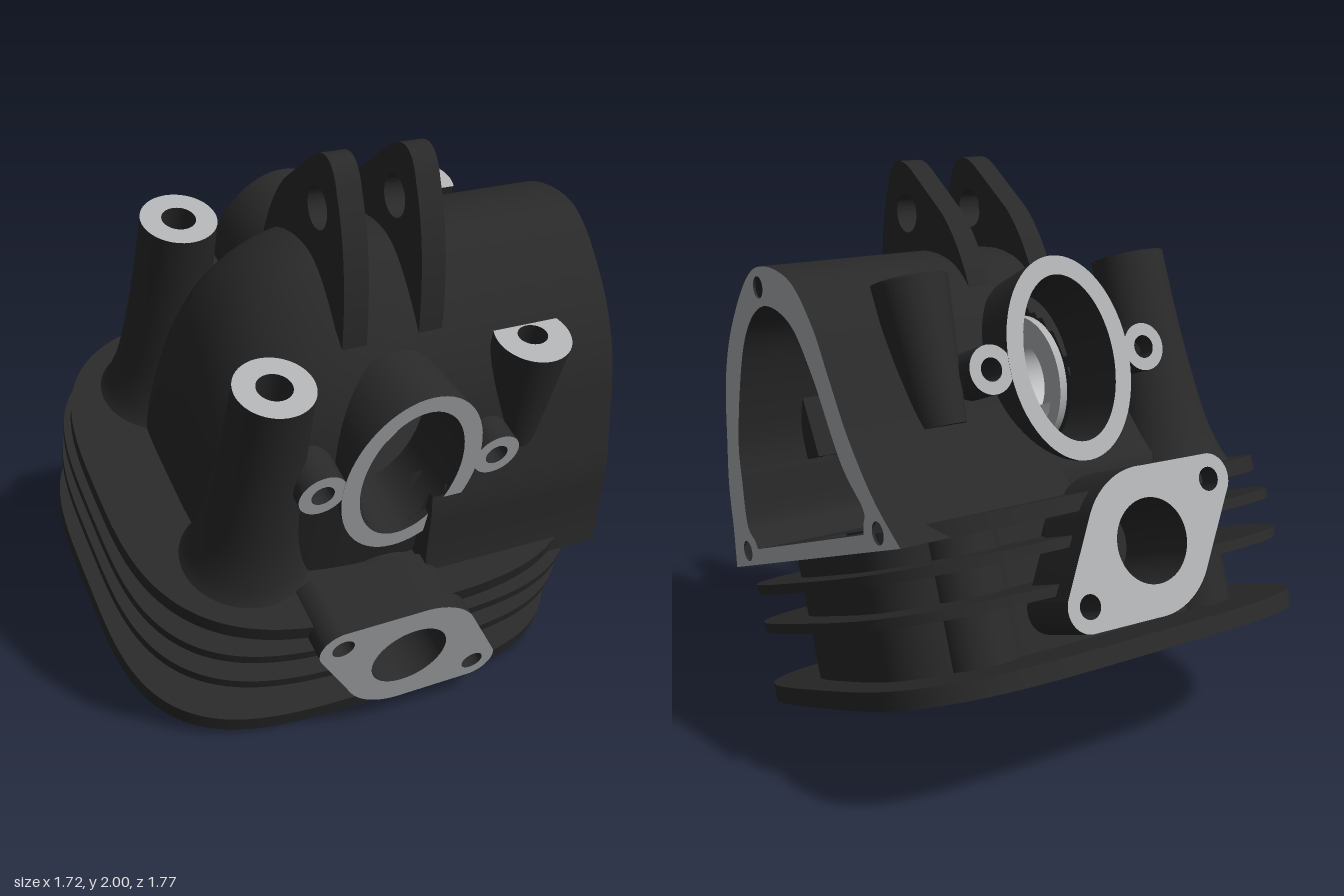
import * as THREE from 'three';
import { toCreasedNormals } from 'three/addons/utils/BufferGeometryUtils.js';

const mat = (name, color, side = THREE.DoubleSide) => new THREE.MeshStandardMaterial({ name, color, side });
const V = (x, y) => new THREE.Vector2(x, y);

export function createModel() {
  const body = mat('dark casting', 0x292929);
  const machined = mat('machined metal', 0xb0b2b4);
  const bright = mat('bright bore', 0xc2c4c6, THREE.FrontSide);

  const model = new THREE.Group();
  model.name = 'cylinderHead';
  const head = new THREE.Group();
  head.name = 'tiltedHead';
  head.position.set(0, 0.265, -0.127);
  head.rotation.x = Math.PI / 9;
  model.add(head);

  const add = (name, geo, material, parent = head) => {
    const m = new THREE.Mesh(geo, material);
    m.name = name;
    parent.add(m);
    return m;
  };
  const extrude = (shape, depth) => toCreasedNormals(
    new THREE.ExtrudeGeometry(shape, { depth, bevelEnabled: false, curveSegments: 32 }), 0.6);
  // Extrude upwards from height y
  const slab = (shape, y, depth) => extrude(shape, depth).rotateX(-Math.PI / 2).translate(0, y, 0);
  // Extrude along x from a shape drawn in (-z, y)
  const sideways = (shape, x, depth) => extrude(shape, depth).rotateY(Math.PI / 2).translate(x, 0, 0);
  const hole = (x, y, rx, ry = rx) => new THREE.Path().absellipse(x, y, rx, ry, 0, Math.PI * 2, true);
  const disc = (x, y, rx, ry = rx) => new THREE.Shape().absellipse(x, y, rx, ry, 0, Math.PI * 2);

  // Rounded-square plan, with optional port notches and a flat right side
  const plan = (rx, rz, power, notch = false, maxX = 9) => {
    const pts = [];
    const e = 2 / power;
    for (let i = 0; i < 144; i++) {
      const a = (i / 144) * Math.PI * 2, c = Math.cos(a), s = Math.sin(a);
      const x = Math.min(maxX, rx * Math.sign(c) * Math.abs(c) ** e);
      let z = rz * Math.sign(s) * Math.abs(s) ** e;
      if (notch && Math.abs(x) < 0.2) z = Math.sign(z) * Math.min(Math.abs(z), 0.5);
      pts.push(V(x, z));
    }
    return new THREE.Shape(pts);
  };
  const bolts = [[-0.46, -0.415], [-0.46, 0.415], [0.45, -0.415], [0.45, 0.415]];
  const slot = () => new THREE.Path([V(0.57, -0.16), V(0.57, 0.16), V(0.7, 0.16), V(0.7, -0.16)]);
  const drill = (shape) => {
    bolts.forEach(([x, z]) => shape.holes.push(hole(x, z, 0.05)));
    shape.holes.push(slot(), hole(0, 0, 0.345));
    return shape;
  };

  // Base plate, core, fins and deck
  add('gasketFace', slab(drill(plan(0.86, 0.77, 3.7)), 0, 0.006), [machined, body]);
  add('basePlate', slab(drill(plan(0.86, 0.77, 3.7)), 0.006, 0.056), body);
  add('core', slab(drill(plan(0.74, 0.51, 3.7)), 0.06, 0.44), body);
  for (const y of [0.255, 0.395]) {
    add('coolingFin', slab(drill(plan(0.86, 0.777, 3.5, true)), y, 0.035), body);
  }
  const deck = plan(0.85, 0.777, 3.1, false, 0.785);
  deck.holes.push(slot());
  add('deck', slab(deck, 0.5, 0.055), body);
  bolts.forEach(([x, z]) => {
    const s = disc(x, -z, 0.13);
    s.holes.push(hole(x, -z, 0.05));
    add('boltColumn', slab(s, 0.05, 0.46), body);
  });

  // Combustion chamber dome with two valves
  const dome = [];
  for (let i = 0; i <= 12; i++) {
    const a = (i / 12) * Math.PI / 2;
    dome.push(V(0.345 * Math.cos(a), 0.003 + 0.27 * Math.sin(a)));
  }
  add('combustionChamber', new THREE.LatheGeometry(dome, 48), body);
  for (const s of [-1, 1]) {
    const valve = add('valve', new THREE.CylinderGeometry(0.12, 0.12, 0.03, 32), body);
    valve.position.set(0, 0.16, s * 0.14);
    valve.rotation.x = s * 0.5;
  }

  // Rocker housing profiles in (z, y)
  const spline = (pts, n) => new THREE.SplineCurve(pts.map(([z, y]) => V(z, y))).getPoints(n);
  const outer = spline([[0.68, 0.5], [0.64, 0.64], [0.605, 0.8], [0.546, 0.95], [0.43, 1.2], [0.26, 1.383],
    [0.016, 1.508], [-0.23, 1.43], [-0.35, 1.26], [-0.41, 1.05], [-0.46, 0.868], [-0.552, 0.664], [-0.67, 0.5]], 96);
  const inner = spline([[0.44, 0.557], [0.455, 0.59], [0.495, 0.65], [0.47, 0.8], [0.415, 0.987], [0.212, 1.28],
    [0.008, 1.375], [-0.186, 1.288], [-0.286, 1.1], [-0.375, 0.796], [-0.47, 0.64], [-0.455, 0.59], [-0.44, 0.557]], 96);

  // Skin through profiles at [x, width scale, height scale, width limit],
  // leaving out the quads inside the two side openings
  const loft = (profile, stations, flip) => {
    const pos = [], idx = [], n = profile.length;
    for (const [x, sw, sh, limit] of stations) for (const p of profile) {
      pos.push(x, 0.5 + (p.y - 0.5) * sh, Math.max(-limit, Math.min(limit, p.x)) * sw);
    }
    for (let i = 0; i < stations.length - 1; i++) for (let j = 0; j < n - 1; j++) {
      const a = i * n + j, b = a + 1, c = a + n, d = c + 1;
      const mx = (pos[a * 3] + pos[d * 3]) / 2, my = (pos[a * 3 + 1] + pos[d * 3 + 1]) / 2;
      const flared = mx > 0.09 && my < 0.85;
      if (!flared && ((mx + 0.01) / 0.18) ** 2 + ((my - 1) / 0.287) ** 2 < 1) continue;
      if (flip) idx.push(a, b, c, b, d, c);
      else idx.push(a, c, b, b, c, d);
    }
    const g = new THREE.BufferGeometry();
    g.setAttribute('position', new THREE.Float32BufferAttribute(pos, 3));
    g.setIndex(idx);
    return toCreasedNormals(g, 0.7);
  };
  const shell = [];
  for (let i = 0; i <= 30; i++) shell.push([0.79 - 0.69 * i / 30, 1, 1, 1]);
  for (let i = 0; i <= 70; i++) {
    const a = (i / 70) ** 1.5 * Math.PI / 2, c = Math.max(0, Math.cos(a));
    shell.push([0.1 - 0.69 * Math.sin(a) ** (2 / 3), c ** 0.45, c ** (2 / 3), 0.565]);
  }
  const cavity = [];
  for (let i = 0; i <= 50; i++) cavity.push([0.79 - 1.01 * i / 50, 1, 1, 1]);
  add('rockerHousing', loft(outer, shell, true), body);
  add('rockerChamber', loft(inner, cavity, false), body);

  const toShape = (pts, Type) => new Type(pts.map((p) => V(-p.x, p.y)));
  const face = toShape(outer, THREE.Shape);
  face.holes.push(toShape(inner, THREE.Path), hole(0, 1.442, 0.038), hole(0.54, 0.555, 0.038), hole(-0.54, 0.555, 0.038));
  add('coverFace', sideways(face, 0.787, 0.009), [machined, body]);

  // Camshaft bearing in the end wall
  const wall = toShape(inner, THREE.Shape);
  wall.holes.push(hole(0, 0.984, 0.145));
  add('endWall', sideways(wall, -0.235, 0.015), body);
  const ring = disc(0, 0.984, 0.245);
  ring.holes.push(hole(0, 0.984, 0.145));
  add('bearingRing', sideways(ring, -0.22, 0.03), machined);
  const bore = new THREE.LatheGeometry([V(0.145, 0.11), V(0.145, -0.11)], 40).rotateZ(Math.PI / 2);
  add('bearingBore', bore, bright).position.set(-0.3, 0.984, 0);
  const boreEnd = add('bearingEnd', new THREE.CircleGeometry(0.145, 40).rotateY(Math.PI / 2), bright);
  boreEnd.position.set(-0.4, 0.984, 0);

  // Machined trough between the side openings; its left half stays within the bearing circle
  for (const [name, start, length] of [['troughLeft', -1.1, 1.1], ['troughRight', 0, 0.9]]) {
    const g = new THREE.LatheGeometry([V(1, 0.26), V(1, -0.2)], 20, start, length)
      .rotateX(Math.PI / 2).scale(0.18, 0.265, 1).translate(0, 1, 0);
    const p = g.attributes.position;
    for (let i = 0; i < p.count; i++) if (start < 0) {
      const reach = Math.sqrt(Math.max(0, 0.06 - (p.getY(i) - 0.984) ** 2));
      p.setZ(i, THREE.MathUtils.clamp(p.getZ(i), -reach, reach));
    }
    add(name, g, bright);
  }

  // Parts repeated on front and back
  for (const s of [1, -1]) {
    const side = new THREE.Group();
    side.name = s > 0 ? 'frontSide' : 'backSide';
    side.scale.z = s;
    head.add(side);

    // Port pipe, and a diamond flange with arcs around the bore and both bolt holes
    const port = new THREE.Shape();
    const lug = Math.atan2(0.15, -0.28);
    port.absarc(-0.285, 0.515, 0.085, lug - 0.95, lug + 0.95, false);
    port.absarc(0, 0.36, 0.245, lug + 1.0, lug + Math.PI - 1.0, false);
    port.absarc(0.275, 0.205, 0.085, lug + Math.PI - 0.95, lug + Math.PI + 0.95, false);
    port.absarc(0, 0.36, 0.245, lug + Math.PI + 1.0, lug + Math.PI * 2 - 1.0, false);
    port.holes.push(hole(-0.01, 0.36, 0.14), hole(-0.285, 0.515, 0.04), hole(0.275, 0.205, 0.04));
    add('portFlange', extrude(port, 0.234).translate(0, 0, 0.61), [machined, body], side);
    const pipe = disc(-0.01, 0.36, 0.21);
    pipe.holes.push(hole(-0.01, 0.36, 0.14));
    add('portPipe', extrude(pipe, 0.16).translate(0, 0, 0.46), body, side);

    // Oval inspection opening, tapering into the housing, with two ears
    const neck = disc(-0.01, 1, 0.245, 0.35);
    neck.holes.push(hole(-0.01, 1, 0.18, 0.285));
    const collar = extrude(neck, 0.24).translate(0, 0, 0.35), q = collar.attributes.position;
    for (let i = 0; i < q.count; i++) {
      if (q.getZ(i) < 0.4) q.setXY(i, -0.01 + (q.getX(i) + 0.01) * 0.88, 1 + (q.getY(i) - 1) * 0.93);
    }
    add('inspectionNeck', collar, [machined, body], side);
    for (const x of [-0.325, 0.305]) {
      const ear = disc(x, 1, 0.083);
      ear.holes.push(hole(x, 1, 0.04));
      add('inspectionEar', extrude(ear, 0.14).translate(0, 0, 0.449), [machined, body], side);
    }

    // Tall flared stud tower on the closed end
    const flare = [[0.23, 0.54], [0.2, 0.6], [0.17, 0.72], [0.15, 0.9], [0.137, 1.1], [0.13, 1.34]];
    const tower = add('studTower', new THREE.LatheGeometry(spline(flare, 24), 40), body, side);
    tower.position.set(-0.465, 0, 0.415);
    const cap = disc(-0.465, -0.415, 0.13);
    cap.holes.push(hole(-0.465, -0.415, 0.058));
    add('studTowerTop', slab(cap, 1.336, 0.009), [machined, body], side);
    const stud = add('studHole', new THREE.CylinderGeometry(0.058, 0.058, 0.8, 24, 1, true), body, side);
    stud.position.set(-0.465, 0.94, 0.415);

    // Cut-off stud boss on the housing, narrowing downwards
    const half = new THREE.Shape().absarc(0.445, -0.415, 0.13, Math.PI - 0.4, Math.PI * 2 + 0.4, false);
    half.closePath();
    half.holes.push(hole(0.445, -0.415, 0.052, 0.045));
    const boss = slab(half, 0.85, 0.49), p = boss.attributes.position;
    for (let i = 0; i < p.count; i++) if (p.getY(i) < 1) p.setX(i, 0.445 + (p.getX(i) - 0.445) * 0.65);
    boss.computeVertexNormals();
    add('studBoss', toCreasedNormals(boss, 0.6), body, side);
    add('studBossTop', slab(half, 1.34, 0.006), [machined, body], side);
  }

  // Twin mounting lugs on the crown
  const lug = new THREE.Shape();
  lug.moveTo(-0.31, 1.335);
  lug.quadraticCurveTo(-0.24, 1.62, -0.1, 1.78);
  lug.quadraticCurveTo(-0.01, 1.91, 0.09, 1.79);
  lug.lineTo(0.24, 1.595);
  lug.quadraticCurveTo(0.31, 1.48, 0.325, 1.31);
  lug.quadraticCurveTo(0, 1.5, -0.31, 1.335);
  lug.holes.push(hole(0, 1.656, 0.07));
  for (const x of [-0.19, 0.08]) add('mountingLug', sideways(lug, x, 0.085), body);

  return model;
}
